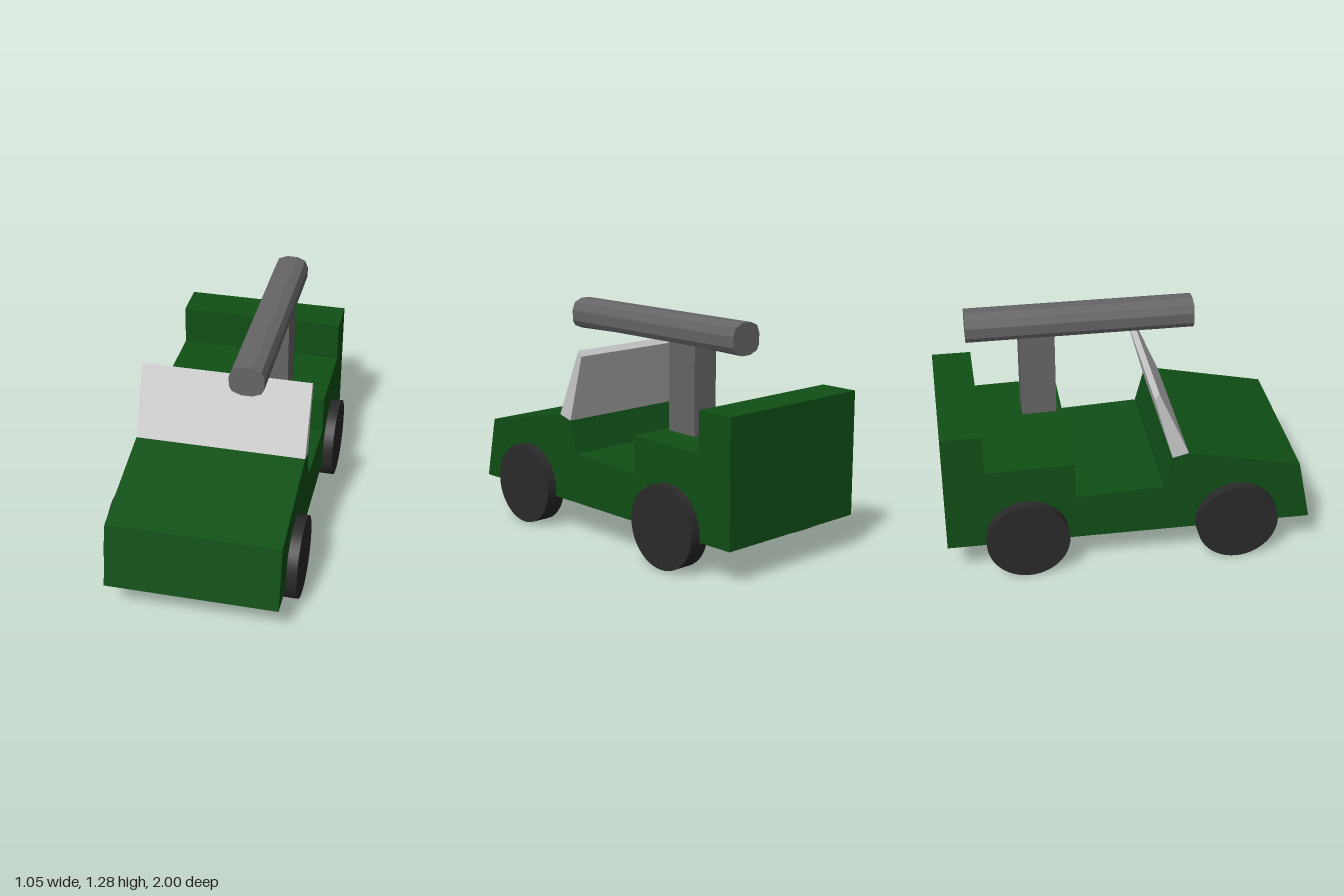
import * as THREE from 'three';

const mat = (color, flatShading = true) => new THREE.MeshStandardMaterial({ color, flatShading });

// Side outline of [z, y] points, extruded across the width and centred on x = 0
function slab(points, width) {
  const shape = new THREE.Shape(points.map(([z, y]) => new THREE.Vector2(z, y)));
  const geo = new THREE.ExtrudeGeometry(shape, { depth: width, bevelEnabled: false });
  return geo.translate(0, 0, -width / 2).rotateY(-Math.PI / 2);
}

// Skin a row of counter-clockwise sections running from back to front, with capped ends
function loft(sections) {
  const n = sections[0].length, last = (sections.length - 1) * n, index = [];
  for (let s = 0; s < sections.length - 1; s++) {
    for (let i = 0; i < n; i++) {
      const a = s * n + i, b = s * n + (i + 1) % n;
      index.push(a, b, b + n, a, b + n, a + n);
    }
  }
  for (let i = 1; i < n - 1; i++) {
    index.push(0, i + 1, i, last, last + i, last + i + 1);
  }
  const geo = new THREE.BufferGeometry();
  geo.setAttribute('position', new THREE.Float32BufferAttribute(sections.flat(2), 3));
  geo.setIndex(index);
  const flat = geo.toNonIndexed();
  flat.computeVertexNormals();
  return flat;
}

export function createModel() {
  const model = new THREE.Group();
  model.name = 'utilityTruck';
  const green = mat(0x104f16), gunGrey = mat(0x666666), glass = mat(0xcccccc), rubber = mat(0x2a2a2a, false);
  const add = (name, geo, material) => {
    const mesh = new THREE.Mesh(geo, material);
    mesh.name = name;
    model.add(mesh);
    return mesh;
  };
  const width = 0.935;

  // Body with bonnet, open cab, rear deck and tail box
  add('body', slab([
    [1, 0.187], [0.927, 0.537], [0.31, 0.667], [0.222, 0.645], [0.175, 0.466], [-0.302, 0.445],
    [-0.302, 0.655], [-0.782, 0.645], [-0.782, 0.868], [-1, 0.868], [-1, 0.187],
  ], width), green);

  // Raked windscreen, thinner towards the top
  add('windscreen', slab([[0.31, 0.667], [0.145, 1.045], [0.12, 1.015], [0.222, 0.645]], width), glass);

  // Post standing on the rear deck
  add('post', new THREE.BoxGeometry(0.154, 0.5, 0.192).translate(0.172, 0.882, -0.43), gunGrey);

  // Twelve-sided barrel, its underside raised where it meets the post
  const half = [[0.029, 1.108], [0.077, 1.127], [0.092, 1.155], [0.094, 1.213], [0.077, 1.256], [0.029, 1.276]];
  const ring = [...half, ...half.map(([x, y]) => [-x, y]).reverse()];
  const section = (z, floor) => ring.map(([x, y]) => [x + 0.172, Math.max(y, floor), z]);
  add('barrel', loft([section(-0.815, 0), section(-0.526, 1.127), section(-0.334, 1.127), section(0.437, 0)]), gunGrey);

  // Four wheels
  const wheel = new THREE.CylinderGeometry(0.225, 0.225, 0.113, 48).rotateZ(Math.PI / 2);
  for (const [end, z] of [['front', 0.584], ['rear', -0.566]]) {
    for (const [side, x] of [['Left', 0.468], ['Right', -0.468]]) {
      add(`${end}${side}Wheel`, wheel, rubber).position.set(x, 0.225, z);
    }
  }
  return model;
}
